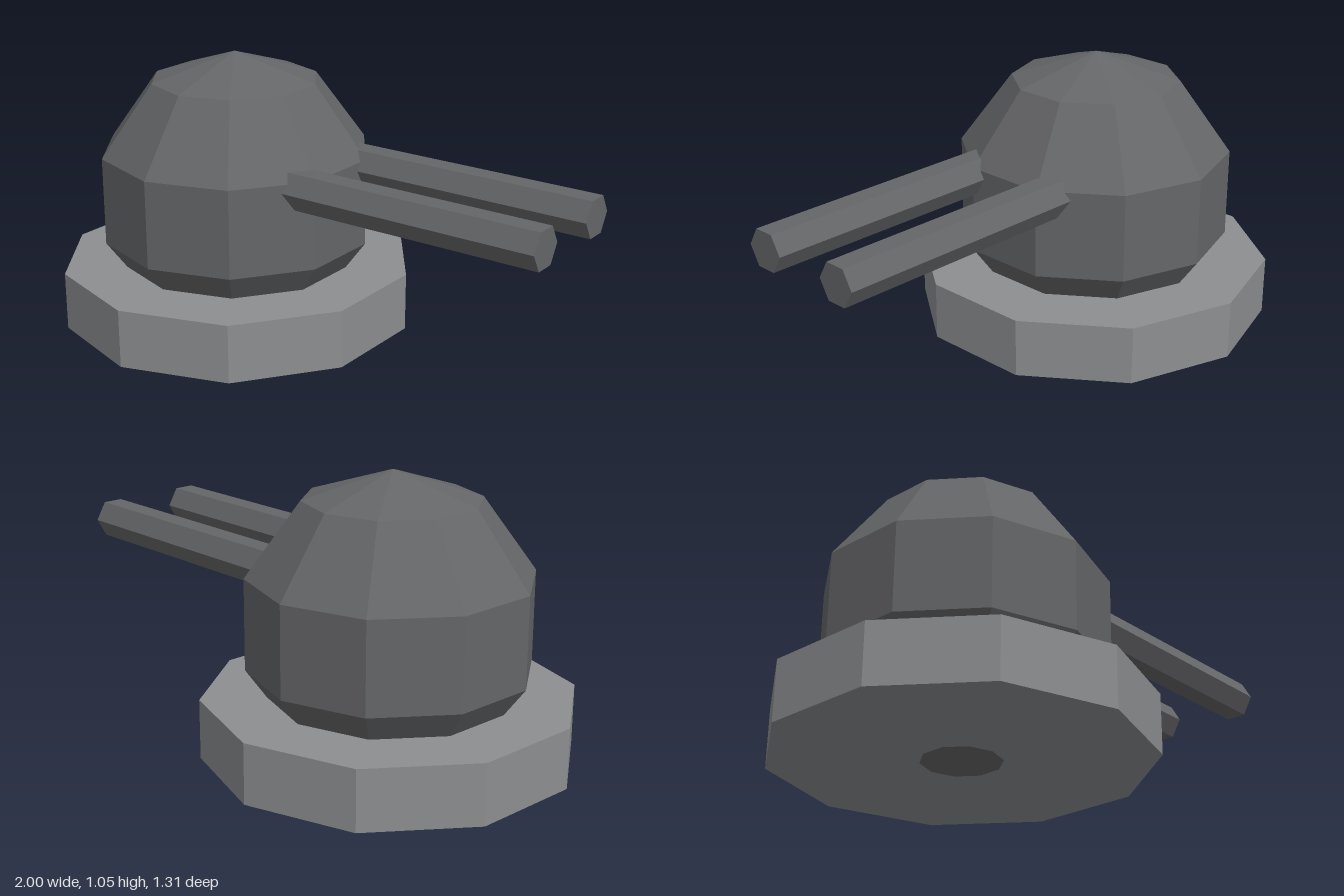
import * as THREE from 'three';

export function createModel() {
  const model = new THREE.Group();
  model.name = 'gunTurret';
  const baseGrey = new THREE.MeshStandardMaterial({ color: 0x8c8e90, flatShading: true });
  baseGrey.name = 'light grey';
  const turretGrey = new THREE.MeshStandardMaterial({ color: 0x656668, flatShading: true });
  turretGrey.name = 'dark grey';
  const axisX = -0.375;

  const add = (name, geometry, material, x, y, z) => {
    const mesh = new THREE.Mesh(geometry, material);
    mesh.name = name;
    mesh.position.set(x, y, z);
    model.add(mesh);
  };

  // Ten-sided mounting plate
  add('base', new THREE.CylinderGeometry(0.657, 0.657, 0.215, 10), baseGrey, axisX, 0.158, 0);

  // Faceted dome, whose lower tip pokes through the base
  const dome = new THREE.SphereGeometry(0.525, 10, 5).rotateY(Math.PI / 10);
  add('dome', dome, turretGrey, axisX, 0.53, 0);

  // Twin hexagonal barrels, rooted inside the dome
  const length = 1.2;
  const barrel = new THREE.CylinderGeometry(0.076, 0.076, length, 6).rotateZ(-Math.PI / 2);
  for (const side of [1, -1]) {
    add(side > 0 ? 'frontBarrel' : 'backBarrel', barrel, turretGrey, 1 - length / 2, 0.662, side * 0.176);
  }
  return model;
}
